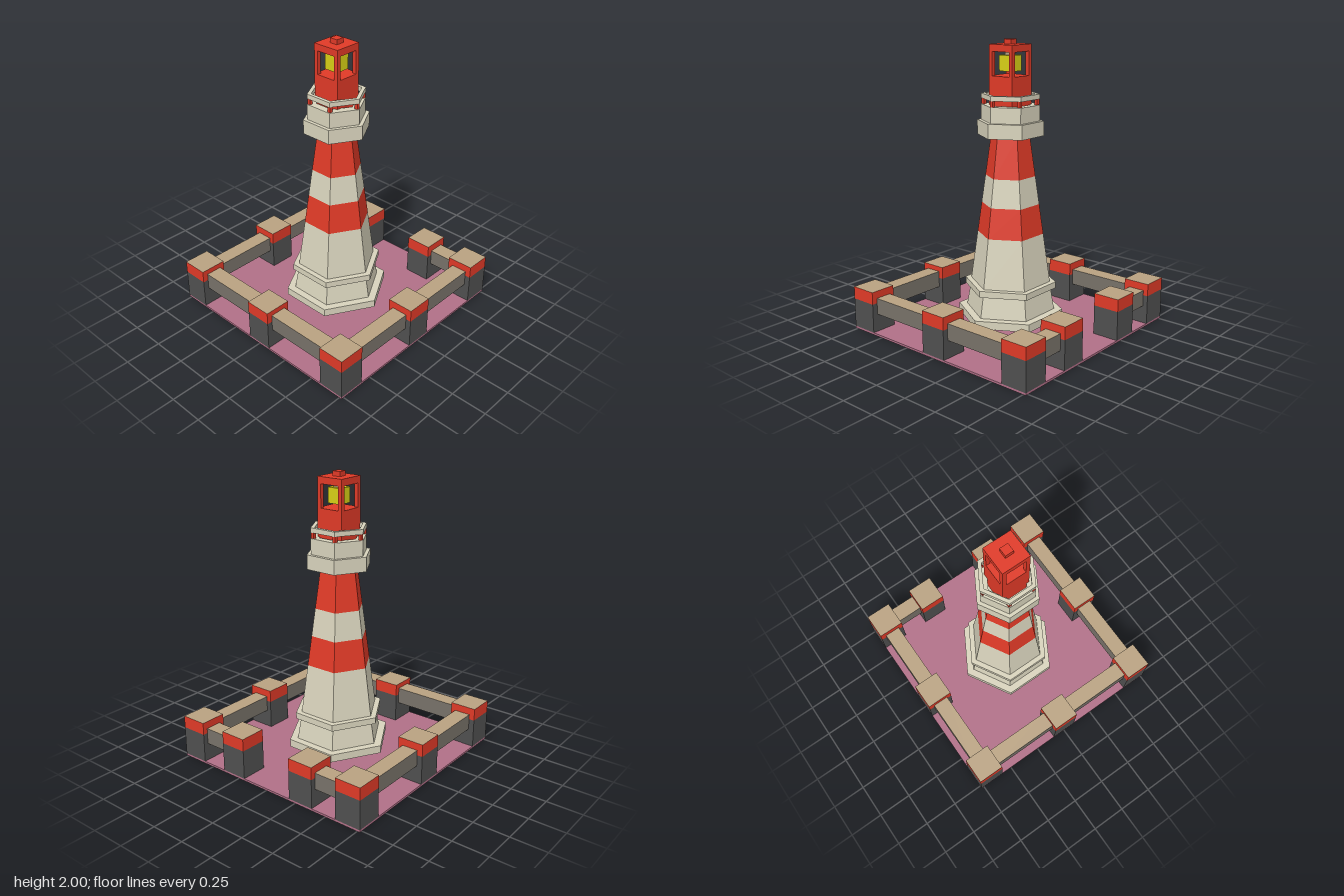
import * as THREE from 'three';

const mat = (name, color) => {
  const m = new THREE.MeshStandardMaterial({ color });
  m.name = name;
  return m;
};

export function createModel() {
  const red = mat('red', 0xe03a27);
  const cream = mat('cream', 0xd8d3bc);
  const tan = mat('tan', 0xb9a281);
  const purple = mat('purple', 0xb06f87);
  const charcoal = mat('charcoal', 0x505050);
  const stone = mat('stone grey', 0x787269);
  const yellow = mat('yellow', 0xd8d016);

  const model = new THREE.Group();
  model.name = 'lighthouse';
  const group = (name) => {
    const g = new THREE.Group();
    g.name = name;
    model.add(g);
    return g;
  };
  const add = (parent, name, geometry, material) => {
    const mesh = new THREE.Mesh(geometry, material);
    mesh.name = name;
    parent.add(mesh);
    return mesh;
  };
  // Box given by its limits on each axis
  const box = (parent, name, [x0, x1], [y0, y1], [z0, z1], material) => {
    const g = new THREE.BoxGeometry(x1 - x0, y1 - y0, z1 - z0);
    g.translate((x0 + x1) / 2, (y0 + y1) / 2, (z0 + z1) / 2);
    return add(parent, name, g, material);
  };
  // Flat-sided hexagonal tier with corners on the x axis
  const hexTier = (parent, name, y0, y1, r0, r1, material) => {
    const g = new THREE.CylinderGeometry(r1, r0, y1 - y0, 6, 1, false, Math.PI / 6).toNonIndexed();
    g.computeVertexNormals();
    g.translate(0, (y0 + y1) / 2, 0);
    return add(parent, name, g, material);
  };
  const hexPoints = (r) => Array.from({ length: 6 }, (_, i) =>
    new THREE.Vector2(r * Math.cos(i * Math.PI / 3), r * Math.sin(i * Math.PI / 3)));
  const hexRing = (parent, name, y0, y1, outer, inner, material) => {
    const shape = new THREE.Shape(hexPoints(outer));
    shape.holes.push(new THREE.Path(hexPoints(inner)));
    const g = new THREE.ExtrudeGeometry(shape, { depth: y1 - y0, bevelEnabled: false });
    g.rotateX(-Math.PI / 2);
    g.translate(0, y0, 0);
    return add(parent, name, g, material);
  };
  const tanTop = (side) => [side, side, tan, side, side, side];

  // Ground slab
  box(model, 'groundSlab', [-0.77, 0.77], [0, 0.015], [-0.77, 0.77], purple);

  // Fence posts with painted caps
  const fence = group('fence');
  const p = 0.675, h = 0.095;
  const posts = [[-p, -p], [p, -p], [-p, p], [p, p], [0, p], [-p, 0], [p, 0], [-0.295, -p], [0.295, -p]];
  for (const [x, z] of posts) {
    const xs = [x - h, x + h], zs = [z - h, z + h];
    box(fence, 'fencePost', xs, [0.015, 0.22], zs, charcoal);
    box(fence, 'fencePostCap', xs, [0.22, 0.307], zs, tanTop(red));
  }

  // Fence rails, mirrored left and right, leaving a gap at the back
  for (const s of [-1, 1]) {
    const span = (a, b) => (s > 0 ? [a, b] : [-b, -a]);
    box(fence, 'frontRail', span(h, 0.58), [0.15, 0.27], [0.615, 0.73], tanTop(stone));
    box(fence, 'backRail', span(0.39, 0.58), [0.14, 0.255], [-0.735, -0.62], tanTop(stone));
    for (const t of [-1, 1]) {
      const zs = t > 0 ? [h, 0.58] : [-0.58, -h];
      box(fence, 'sideRail', span(0.615, 0.73), [0.14, 0.255], zs, tanTop(stone));
    }
  }

  // Stepped footing
  const tower = group('tower');
  hexTier(tower, 'footing', 0.075, 0.13, 0.37, 0.37, cream);
  hexTier(tower, 'plinth', 0.13, 0.285, 0.312, 0.285, cream);
  hexTier(tower, 'plinthLedge', 0.285, 0.33, 0.322, 0.322, cream);

  // Tapered shaft in alternating bands
  const radius = (y) => 0.28 - (0.147 * (y - 0.33)) / 1.03;
  const bands = [0.33, 0.675, 0.885, 1.08, 1.36];
  for (let i = 0; i < 4; i++) {
    hexTier(tower, 'shaftBand', bands[i], bands[i + 1], radius(bands[i]), radius(bands[i + 1]), i % 2 ? red : cream);
  }

  // Gallery with parapet, short posts and handrail
  const gallery = group('gallery');
  hexTier(gallery, 'galleryDeck', 1.36, 1.46, 0.228, 0.228, cream);
  hexRing(gallery, 'parapet', 1.46, 1.567, 0.2, 0.138, cream);
  for (const v of hexPoints(0.18)) {
    box(gallery, 'railingPost', [v.x - 0.011, v.x + 0.011], [1.567, 1.608], [v.y - 0.011, v.y + 0.011], red);
  }
  hexRing(gallery, 'handrail', 1.607, 1.64, 0.2, 0.171, cream);

  // Lantern room, open on all four sides
  const lantern = group('lantern');
  const w = 0.1, win = 0.072;
  box(lantern, 'lanternBase', [-w, w], [1.46, 1.76], [-w, w], red);
  for (const x of [[-w, -win], [win, w]]) {
    for (const z of [[-w, -win], [win, w]]) box(lantern, 'lanternCornerPost', x, [1.76, 1.92], z, red);
  }
  box(lantern, 'lanternRoof', [-w, w], [1.92, 1.967], [-w, w], red);
  box(lantern, 'roofCap', [-0.03, 0.03], [1.967, 2], [-0.03, 0.03], red);
  box(lantern, 'lampHanger', [-0.025, 0.025], [1.895, 1.92], [-0.025, 0.025], tan);
  box(lantern, 'lamp', [-0.052, 0.052], [1.79, 1.895], [-0.052, 0.052], yellow);

  return model;
}
